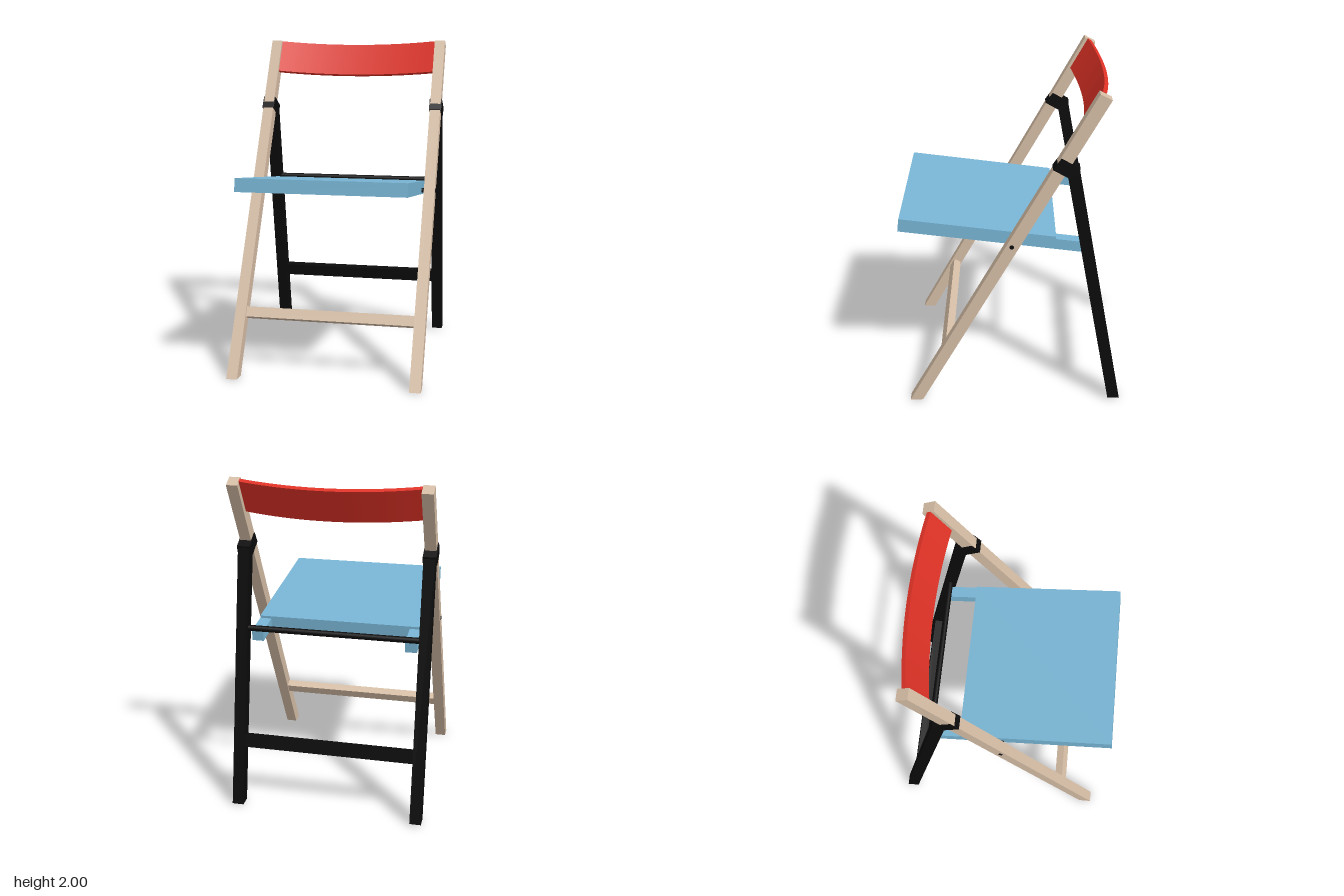
import * as THREE from 'three';

const mat = (name, color) => {
  const m = new THREE.MeshStandardMaterial({ color });
  m.name = name;
  return m;
};

export function createModel() {
  const wood = mat('pale wood', 0xd6bea6);
  const black = mat('black', 0x0b0b0b);
  const blue = mat('seat blue', 0x78b5d4);
  const red = mat('backrest red', 0xe03226);
  const chair = new THREE.Group();
  chair.name = 'foldingChair';

  const add = (parent, name, geo, material, x = 0, y = 0, z = 0, tilt = 0) => {
    const mesh = new THREE.Mesh(geo, material);
    mesh.name = name;
    mesh.position.set(x, y, z);
    mesh.rotation.x = tilt;
    parent.add(mesh);
    return mesh;
  };
  const box = (w, h, d) => new THREE.BoxGeometry(w, h, d);
  // Side outline given as [z, y] points, extruded from x0 to x1
  const slab = (points, x0, x1) => {
    const shape = new THREE.Shape(points.map(p => new THREE.Vector2(...p)));
    return new THREE.ExtrudeGeometry(shape, { depth: x1 - x0, bevelEnabled: false })
      .rotateY(-Math.PI / 2).translate(x1, 0, 0);
  };
  // Round bar running along x
  const rod = (r, length) => new THREE.CylinderGeometry(r, r, length, 16).rotateZ(Math.PI / 2);

  const frontTilt = -0.506, rearTilt = 0.188, seatTilt = -0.127;

  // Legs and the collars that hinge them together
  const frontLeg = [[0.637, 0], [-0.467, 2], [-0.533, 1.965], [0.56, 0]];
  const rearLeg = [[-0.593, 0.01], [-0.305, 1.53], [-0.34, 1.57], [-0.372, 1.56], [-0.665, 0.01]];
  const collar = [[-0.222, 1.565], [-0.268, 1.632], [-0.374, 1.572], [-0.366, 1.535], [-0.318, 1.51]];
  for (const [side, s] of [['left', 1], ['right', -1]]) {
    const span = (a, b) => (s > 0 ? [a, b] : [-b, -a]);
    add(chair, side + 'FrontLeg', slab(frontLeg, ...span(0.517, 0.584)), wood);
    add(chair, side + 'RearLeg', slab(rearLeg, ...span(0.516, 0.585)), black);
    add(chair, side + 'HingeCollar', slab(collar, ...span(0.512, 0.59)), black);
    add(chair, side + 'SeatPivot', rod(0.013, 0.164), black, s * 0.505, 1.08, 0.005);
  }

  // Cross bars between the legs
  add(chair, 'frontStretcher', box(1.04, 0.063, 0.05), wood, 0, 0.35, 0.403, frontTilt);
  add(chair, 'rearStretcher', box(1.04, 0.075, 0.05), black, 0, 0.4, -0.556, rearTilt);
  add(chair, 'seatRod', rod(0.018, 1.04), black, 0, 1.085, -0.43);

  // Seat: thin panel on an open frame, tilted about its pivots
  const seat = new THREE.Group();
  seat.name = 'seat';
  seat.position.set(0, 1.08, 0.005);
  seat.rotation.x = seatTilt;
  chair.add(seat);
  add(seat, 'seatPanel', box(1, 0.015, 0.919), blue, 0, 0.0485, 0.2055);
  for (const s of [1, -1]) {
    add(seat, s > 0 ? 'leftSeatRail' : 'rightSeatRail', box(0.07, 0.065, 1.092), blue, s * 0.465, 0.0085, 0.119);
  }
  add(seat, 'seatFrontBar', box(0.86, 0.065, 0.07), blue, 0, 0.0085, 0.63);
  add(seat, 'seatRearBar', box(0.86, 0.065, 0.07), blue, 0, 0.0085, -0.219);

  // Backrest: a board bowed backwards between the front legs
  const board = new THREE.BoxGeometry(1.036, 0.222, 0.025, 28, 1, 1);
  const p = board.attributes.position;
  for (let i = 0; i < p.count; i++) {
    p.setZ(i, p.getZ(i) - 0.05 * (1 - (p.getX(i) / 0.518) ** 2));
  }
  board.computeVertexNormals();
  add(chair, 'backrest', board, red, 0, 1.892, -0.442, frontTilt);

  return chair;
}
